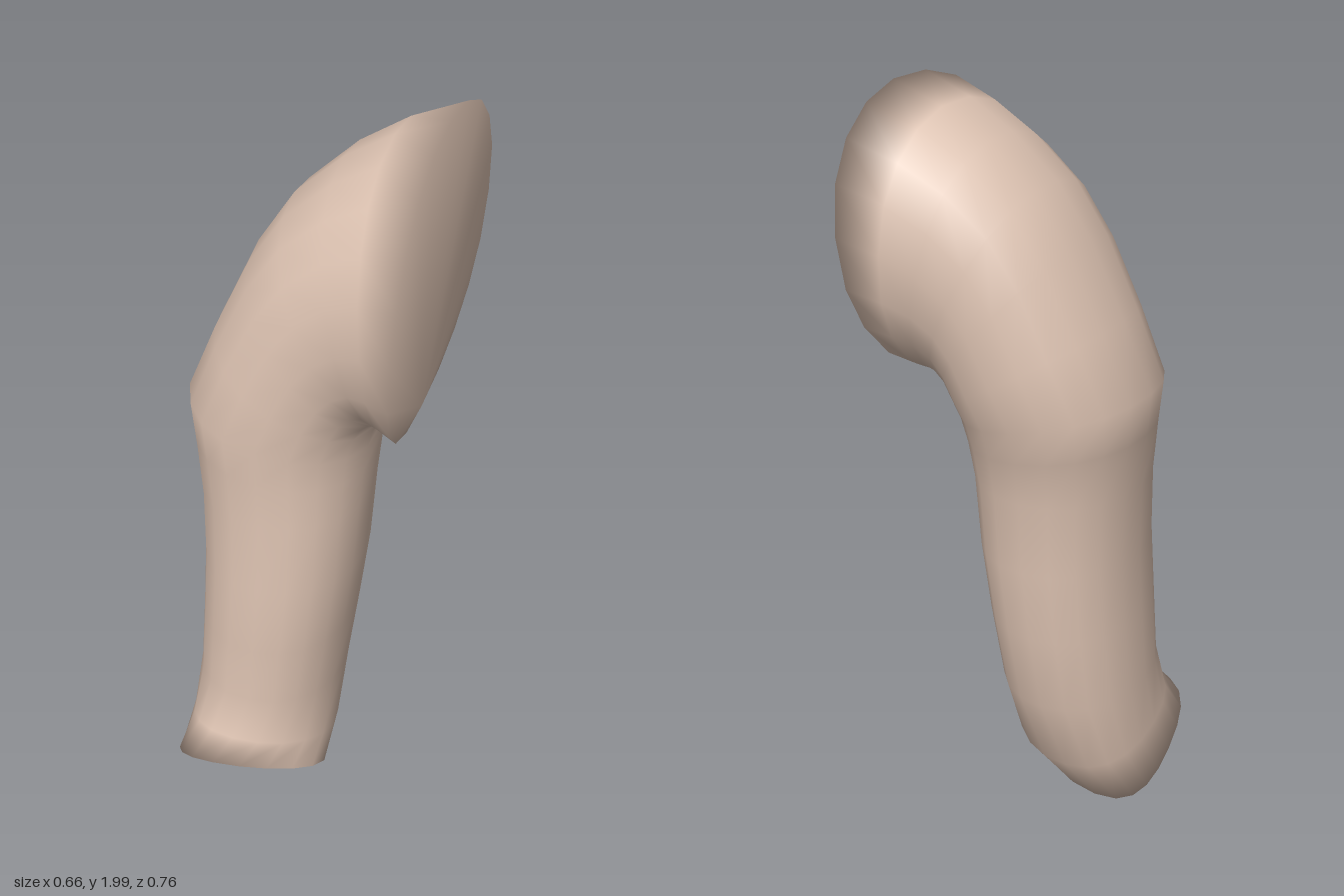
import * as THREE from 'three';

// Cross-sections along the limb, lower end to upper end:
// outer edge x, y | inner edge x, y | back z, front z | front rise in y | front skew in x | bow in x
const SECTIONS = [
  [-0.33, 0.10, 0.08, 0.125, 0.00, 0.372, 0.105, 0, -0.06],
  [-0.312, 0.23, 0.088, 0.21, -0.10, 0.325, 0.06, 0, -0.03],
  [-0.30, 0.40, 0.10, 0.40, -0.167, 0.304, 0.02, 0, 0],
  [-0.288, 0.60, 0.125, 0.60, -0.197, 0.31, 0, 0, 0],
  [-0.28, 0.80, 0.148, 0.80, -0.209, 0.30, 0, 0, 0],
  [-0.285, 1.00, 0.16, 1.00, -0.217, 0.287, 0, 0, 0],
  [-0.30, 1.15, 0.167, 1.10, -0.245, 0.287, 0, 0, 0],
  [-0.315, 1.27, 0.175, 1.17, -0.275, 0.29, 0, 0, 0],
  [-0.24, 1.45, 0.185, 1.215, -0.297, 0.29, 0, 0, 0],
  [-0.15, 1.64, 0.195, 1.237, -0.305, 0.29, -0.01, 0, 0],
  [-0.06, 1.775, 0.208, 1.25, -0.318, 0.295, -0.02, 0, 0],
  [0.06, 1.88, 0.222, 1.253, -0.335, 0.307, -0.03, -0.005, 0],
  [0.18, 1.95, 0.24, 1.25, -0.357, 0.335, -0.04, -0.012, 0.005],
  [0.31, 2.00, 0.272, 1.25, -0.38, 0.378, -0.05, -0.022, 0.017],
];
const SIDES = 20;

// One ring of points around the limb
function ring([ax, ay, bx, by, zb, zf, rise, skew, bow]) {
  const c = new THREE.Vector3((ax + bx) / 2, (ay + by) / 2, (zb + zf) / 2);
  const u = new THREE.Vector3((bx - ax) / 2, (by - ay) / 2, 0);
  const v = new THREE.Vector3(skew, rise, (zf - zb) / 2);
  const soft = (n) => Math.sign(n) * Math.pow(Math.abs(n), 0.92);
  return Array.from({ length: SIDES }, (_, j) => {
    const t = (j / SIDES) * Math.PI * 2;
    const p = c.clone()
      .addScaledVector(u, soft(Math.cos(t)))
      .addScaledVector(v, soft(Math.sin(t)));
    p.x += bow * Math.sin(t) ** 2;
    return p;
  });
}

// Skin the rings into one smooth surface, closed by a flat cap at each end
function loft(rings) {
  const index = [];
  for (let i = 0; i < rings.length - 1; i++) {
    for (let j = 0; j < SIDES; j++) {
      const a = i * SIDES + j, b = i * SIDES + (j + 1) % SIDES;
      index.push(a, a + SIDES, b, b, a + SIDES, b + SIDES);
    }
  }
  const top = (rings.length - 1) * SIDES;
  for (let j = 1; j < SIDES - 1; j++) {
    index.push(0, j, j + 1);
    index.push(top, top + j + 1, top + j);
  }
  const geometry = new THREE.BufferGeometry().setFromPoints(rings.flat());
  geometry.setIndex(index);
  geometry.computeVertexNormals();
  return geometry;
}

export function createModel() {
  const group = new THREE.Group();
  group.name = 'bentLimb';

  // Shaft, bend and flared upper end
  const limb = new THREE.Mesh(
    loft(SECTIONS.map(ring)),
    new THREE.MeshStandardMaterial({ color: 0xdcc2b1 }),
  );
  limb.name = 'limb';
  group.add(limb);
  return group;
}
